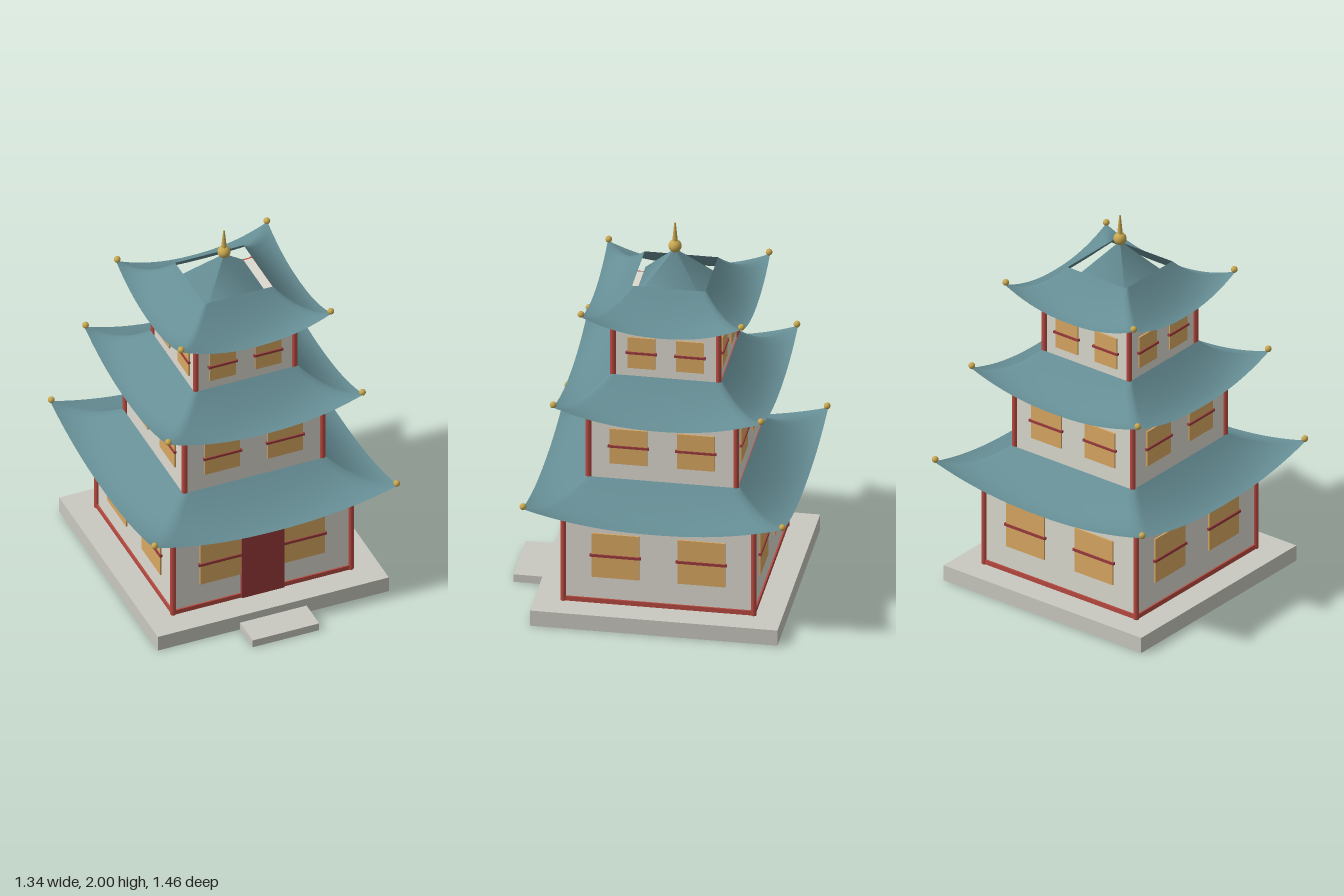
import * as THREE from 'three';

const mat = (name, color, side = THREE.FrontSide) => {
  const m = new THREE.MeshStandardMaterial({ color, side });
  m.name = name;
  return m;
};

// Curved square roof sheet: concave slope from the top ring to the eave, corners swept up
function roofGeometry(inner, outer, yEave, yTop, lift, rows = 12, seg = 20) {
  const pos = [], idx = [], n = seg * 4;
  for (let r = 0; r <= rows; r++) {
    const u = r / rows, h = inner + (outer - inner) * u;
    for (let i = 0; i < n; i++) {
      const v = (i % seg) / seg * 2 - 1;
      const y = yEave + (yTop - yEave) * Math.pow(1 - u, 1.6) + lift * u * u * Math.pow(Math.abs(v), 2.2);
      const [x, z] = [[v, 1], [1, -v], [-v, -1], [-1, v]][Math.floor(i / seg)];
      pos.push(x * h, y, z * h);
      if (r < rows) {
        const a = r * n + i, b = r * n + (i + 1) % n;
        idx.push(a, a + n, b, b, a + n, b + n);
      }
    }
  }
  const g = new THREE.BufferGeometry();
  g.setAttribute('position', new THREE.Float32BufferAttribute(pos, 3));
  g.setIndex(idx);
  g.computeVertexNormals();
  return g;
}

export function createModel() {
  const model = new THREE.Group();
  model.name = 'pagoda';
  const tower = new THREE.Group();
  tower.name = 'tower';
  tower.position.z = -0.055;
  model.add(tower);

  const stone = mat('stone', 0xc9c8c0);
  const plaster = mat('plaster', 0xdcdad0);
  const red = mat('redTimber', 0xb84a40);
  const darkRed = mat('darkRedTimber', 0x9a3a3c);
  const paper = mat('windowPaper', 0xd9a862);
  const tile = mat('roofTile', 0x668e95, THREE.DoubleSide);
  const gold = mat('gold', 0xc8a850);

  const add = (parent, name, geometry, material, x = 0, y = 0, z = 0) => {
    const m = new THREE.Mesh(geometry, material);
    m.name = name;
    m.position.set(x, y, z);
    parent.add(m);
    return m;
  };
  const box = (parent, name, material, w, h, d, x, y, z) =>
    add(parent, name, new THREE.BoxGeometry(w, h, d), material, x, y, z);

  // Plinth and entrance step
  box(tower, 'plinth', stone, 1.25, 0.085, 1.25, 0, 0.0425, 0);
  box(tower, 'entranceStep', stone, 0.36, 0.042, 0.24, 0, 0.021, 0.665);

  // half: wall half width; win: window offset, width, height, centre height
  const tiers = [
    { half: 0.481, y0: 0.085, y1: 0.59, win: [0.217, 0.24, 0.245, 0.353], bar: 0.014,
      roof: [0.385, 0.66, 0.585, 0.74, 0.088] },
    { half: 0.373, y0: 0.69, y1: 1.105, win: [0.17, 0.19, 0.195, 0.917], bar: 0.012,
      roof: [0.28, 0.53, 1.1, 1.27, 0.09] },
    { half: 0.267, y0: 1.22, y1: 1.565, win: [0.123, 0.14, 0.172, 1.395], bar: 0.012,
      roof: [0.185, 0.41, 1.56, 1.725, 0.088] },
  ];

  tiers.forEach((t, level) => {
    const storey = new THREE.Group();
    storey.name = 'storey' + (level + 1);
    tower.add(storey);
    const { half, y0, y1, bar } = t, h = y1 - y0;
    box(storey, 'walls', plaster, half * 2, h, half * 2, 0, (y0 + y1) / 2, 0);

    for (let k = 0; k < 4; k++) {
      // One face, turned around the tower
      const face = new THREE.Group();
      face.name = 'wallFace';
      face.rotation.y = k * Math.PI / 2;
      storey.add(face);
      add(face, 'cornerPost', new THREE.CylinderGeometry(0.0145, 0.0145, h, 10), red, half, (y0 + y1) / 2, half);
      for (const y of [y0 + 0.0125, y1 - 0.0125]) {
        box(face, 'beam', red, half * 2, 0.025, 0.016, 0, y, half);
      }
      const [wx, ww, wh, wy] = t.win;
      for (const s of [-1, 1]) {
        box(face, 'window', paper, ww, wh, 0.016, s * wx, wy, half);
        box(face, 'windowBar', darkRed, ww + 0.018, bar, 0.016, s * wx, wy, half + 0.006);
      }
    }

    // Roof with golden corner beads
    add(storey, 'roof', roofGeometry(...t.roof), tile);
    const [, outer, yEave, , lift] = t.roof;
    for (const sx of [-1, 1]) for (const sz of [-1, 1]) {
      add(storey, 'cornerBead', new THREE.SphereGeometry(0.017, 14, 10), gold,
        sx * (outer - 0.005), yEave + lift + 0.011, sz * (outer - 0.005));
    }
  });

  // Door with golden lintel
  box(tower, 'door', darkRed, 0.23, 0.385, 0.03, 0, 0.2775, 0.481);
  box(tower, 'doorLintel', gold, 0.285, 0.035, 0.04, 0, 0.492, 0.481);

  // Peak inside the top roof opening
  const peak = new THREE.ConeGeometry(0.255, 0.215, 4, 1);
  peak.rotateY(Math.PI / 4);
  add(tower, 'peak', peak, tile, 0, 1.7475, 0);

  // Finial
  add(tower, 'finialBall', new THREE.SphereGeometry(0.033, 20, 14), gold, 0, 1.87, 0);
  add(tower, 'finialSpike', new THREE.CylinderGeometry(0.004, 0.015, 0.11, 12), gold, 0, 1.945, 0);

  return model;
}
